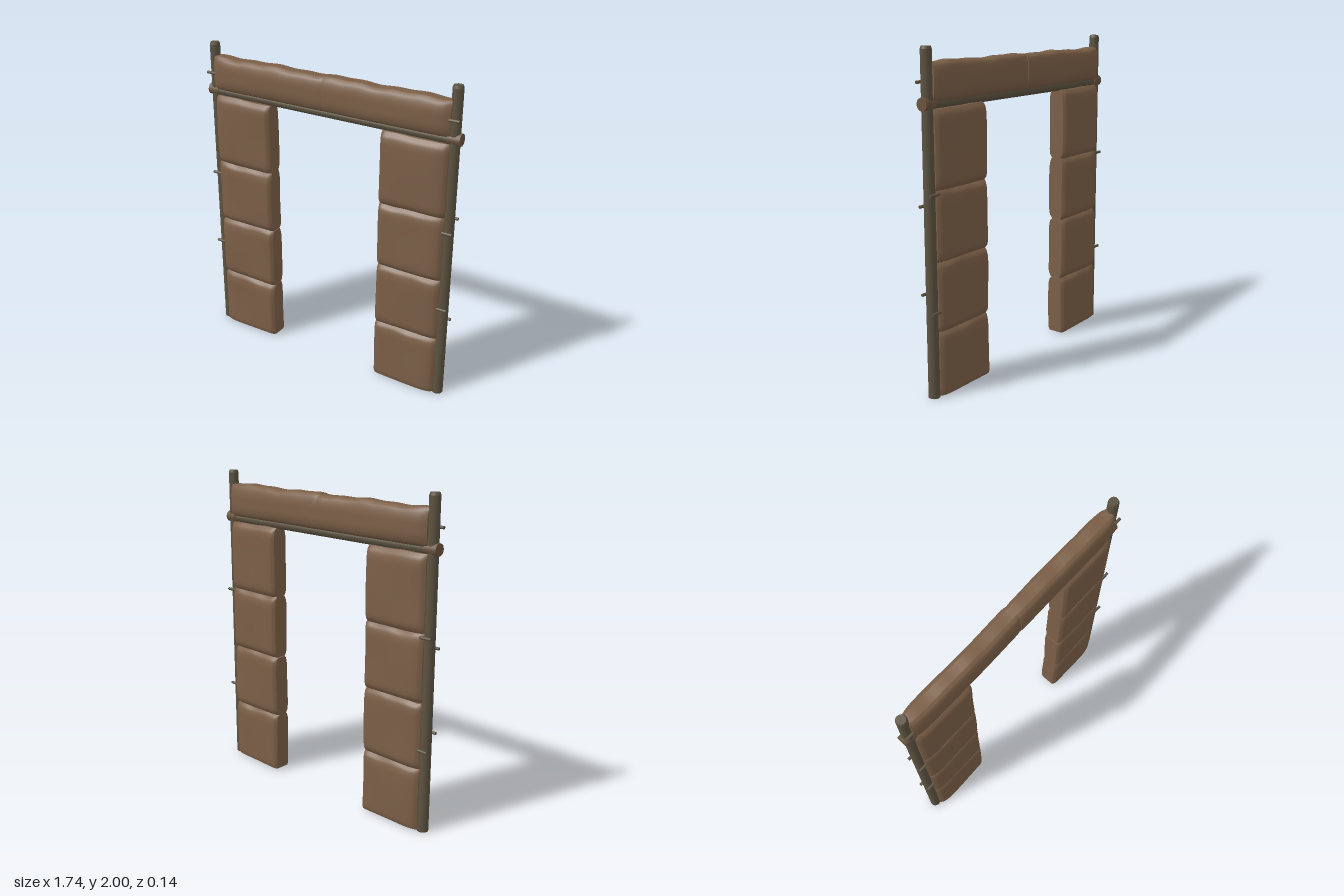
import * as THREE from 'three';

const hide = new THREE.MeshStandardMaterial({ color: 0x7b5f47 });
const wood = new THREE.MeshStandardMaterial({ color: 0x5c5341 });
const endWood = new THREE.MeshStandardMaterial({ color: 0x6b543f });

// Quarter-round falloff: 0 on the edge, 1 at distance r or more
function round(d, r) {
  const t = 1 - Math.min(d / r, 1);
  return Math.sqrt(Math.max(0, 1 - t * t));
}

// Padded hide panel; edge lists the rounding widths and thin the half depths at the rims
function panel(name, [x0, x1], [y0, y1], edge, thin, seed, wave) {
  const geo = new THREE.BoxGeometry(1, 1, 1, 32, 24, 4);
  const p = geo.attributes.position;
  for (let i = 0; i < p.count; i++) {
    const u = p.getX(i) + 0.5, v = p.getY(i) + 0.5, w = p.getZ(i) * 2;
    const x = x0 + u * (x1 - x0);
    const ripple = Math.sin(x * 13 + seed * 2.1) * 0.6 + Math.sin(x * 31 + seed * 4.3) * 0.4;
    const y = y0 + v * (y1 - y0) + wave * ripple * v ** 6;
    const rim = (d, r, t) => t + (1 - t) * round(d, r);
    let depth = 0.067;
    depth *= rim(u * (x1 - x0), edge.x0, thin.x0) * rim((1 - u) * (x1 - x0), edge.x1, thin.x1);
    depth *= rim(v * (y1 - y0), edge.y0, thin.y0) * rim((1 - v) * (y1 - y0), edge.y1, thin.y1);
    const sag = 0.003 * Math.sin(x * 9 + seed * 1.7) * Math.sin(y * 11 + seed);
    p.setXYZ(i, x, y, w * depth + sag);
  }
  geo.computeVertexNormals();
  const mesh = new THREE.Mesh(geo, hide);
  mesh.name = name;
  return mesh;
}

function rod(name, r0, r1, length, x, y, z, along, material = wood) {
  const mesh = new THREE.Mesh(new THREE.CylinderGeometry(r0, r1, length, 14), material);
  mesh.position.set(x, y, z);
  if (along === 'x') mesh.rotation.z = Math.PI / 2;
  mesh.name = name;
  return mesh;
}

export function createModel() {
  const group = new THREE.Group();
  const rows = [0.01, 0.4, 0.81, 1.22, 1.668];

  for (const s of [-1, 1]) {
    const side = s > 0 ? 'left' : 'right';

    // Upright pole with a chamfered tip
    group.add(rod(side + 'Pole', 0.032, 0.035, 1.985, s * 0.825, 0.9925, 0, 'y'));
    group.add(rod(side + 'PoleTip', 0.027, 0.032, 0.015, s * 0.825, 1.9925, 0, 'y'));

    // Stacked wall panels
    for (let i = 0; i < 4; i++) {
      const xs = s > 0 ? [0.39, 0.81] : [-0.81, -0.39];
      const inner = s > 0 ? 'x0' : 'x1', outer = s > 0 ? 'x1' : 'x0';
      group.add(panel(side + 'WallPanel' + i, xs, [rows[i], rows[i + 1]],
        { [inner]: 0.035, [outer]: 0.11, y0: i ? 0.06 : 0.03, y1: 0.08 },
        { [inner]: 0.72, [outer]: 0.55, y0: i ? 0.68 : 0.9, y1: 0.55 },
        i * 2 + s, i < 3 ? 0.009 : 0.003));
    }

    // Lintel panel, meeting its neighbour in the middle
    const xs = s > 0 ? [0, 0.81] : [-0.81, 0];
    const mid = s > 0 ? 'x0' : 'x1', end = s > 0 ? 'x1' : 'x0';
    group.add(panel(side + 'LintelPanel', xs, [1.705, 1.917],
      { [mid]: 0.03, [end]: 0.13, y0: 0.08, y1: 0.09 },
      { [mid]: 0.93, [end]: 0.6, y0: 0.45, y1: 0.45 }, s * 3, 0.006));

    // Flared end of the cross beam
    group.add(rod(side + 'BeamEnd', 0.037, 0.037, 0.08, s * 0.828, 1.695, 0, 'x', endWood));

    // Lashing pegs on the front and back of the pole
    for (const y of [0.62, 1.13, 1.81])
      group.add(rod(side + 'FrontPeg', 0.009, 0.009, 0.08, s * 0.823, y, 0.04, 'x'));
    for (const y of [0.52, 1.2])
      group.add(rod(side + 'BackPeg', 0.009, 0.009, 0.08, s * 0.823, y, -0.04, 'x'));
  }

  // Cross beam over the opening
  group.add(rod('crossBeam', 0.031, 0.031, 1.7, 0, 1.692, 0, 'x'));
  return group;
}
